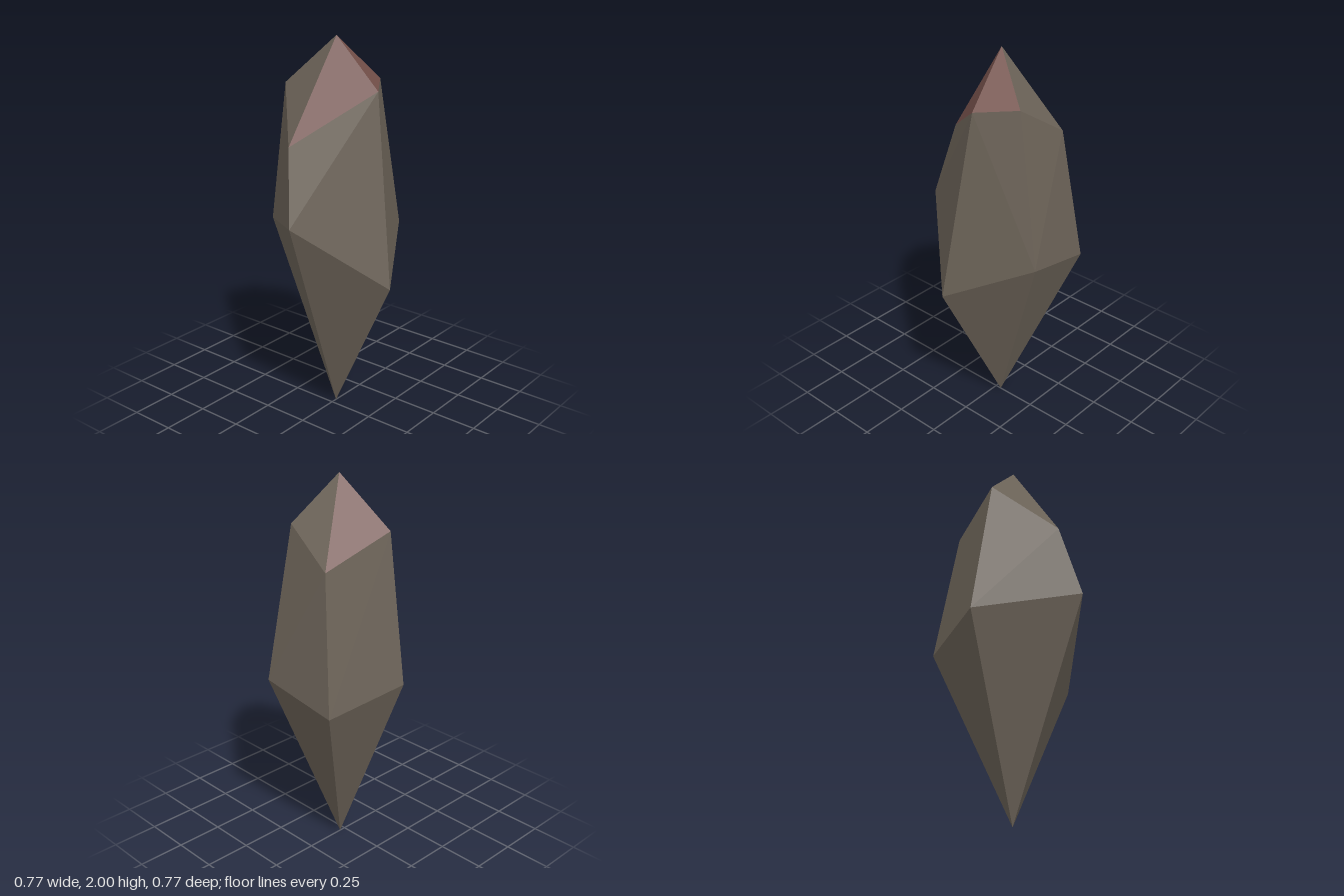
import * as THREE from 'three';

const stone = new THREE.MeshStandardMaterial({ color: 0x6b6257, flatShading: true });
stone.name = 'greyBrownStone';
const red = new THREE.MeshStandardMaterial({ color: 0x734f49, flatShading: true });
red.name = 'dullRed';

// Flat-faced mesh from a list of corner triples
function facets(name, triangles, material) {
  const geometry = new THREE.BufferGeometry();
  geometry.setAttribute('position', new THREE.Float32BufferAttribute(triangles.flat(2), 3));
  geometry.computeVertexNormals();
  const mesh = new THREE.Mesh(geometry, material);
  mesh.name = name;
  return mesh;
}

export function createModel() {
  const group = new THREE.Group();
  group.name = 'crystal';

  const apex = [0.034, 2, 0];
  const foot = [0.034, 0, 0];
  // Five-cornered rings, running from the front round by the +x side
  const waist = [
    [-0.019, 0.78, 0.385], [0.386, 0.985, 0.15], [0.355, 0.893, -0.257],
    [-0.028, 1.0, -0.386], [-0.388, 1.125, 0.048],
  ];
  const shoulder = [
    [0.061, 1.748, 0.235], [0.246, 1.77, 0.111], [0.283, 1.595, -0.162],
    [-0.046, 1.75, -0.263], [-0.3, 1.503, -0.026],
  ];

  const lower = [], sides = [], plainTip = [], redTip = [];
  for (let i = 0; i < 5; i++) {
    const j = (i + 1) % 5;
    const [p, q, r, s] = [waist[i], waist[j], shoulder[j], shoulder[i]];
    lower.push([q, p, foot]);
    // Split each side along its outward ridge
    if (i === 0) sides.push([p, q, s], [q, r, s]);
    else sides.push([p, q, r], [p, r, s]);
    // Alternate tip facets are red
    (i % 2 === 0 ? redTip : plainTip).push([s, r, apex]);
  }

  group.add(
    facets('lowerPoint', lower, stone),
    facets('sideFacets', sides, stone),
    facets('plainTipFacets', plainTip, stone),
    facets('redTipFacets', redTip, red),
  );
  return group;
}
